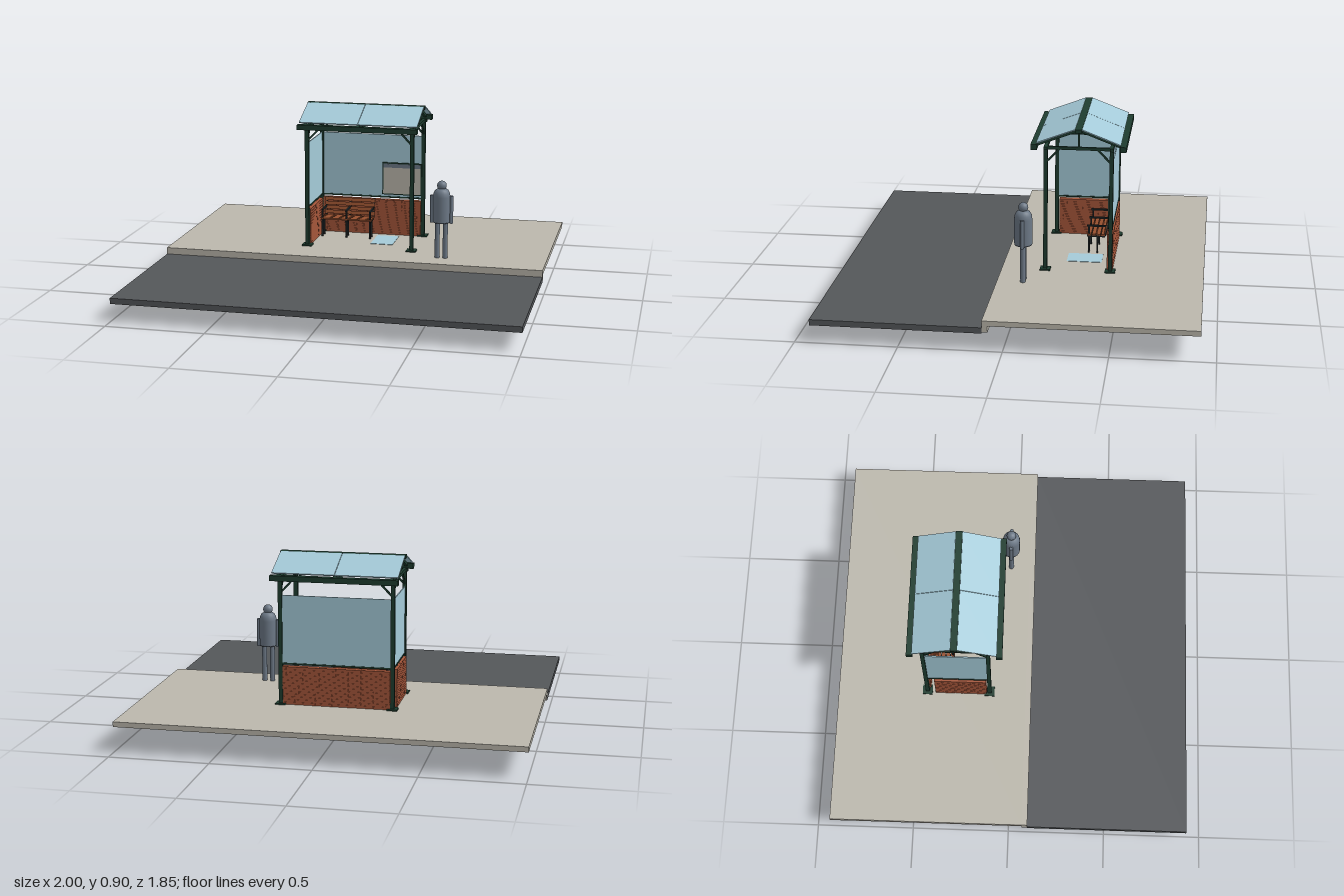
import * as THREE from 'three';
import { mergeGeometries } from 'three/addons/utils/BufferGeometryUtils.js';

const mat = (name, color, extra = {}) => {
  const m = new THREE.MeshStandardMaterial({ color, ...extra });
  m.name = name;
  return m;
};

export function createModel() {
  const model = new THREE.Group();
  model.name = 'roadsideShelter';
  const concrete = mat('concrete', 0xbcb8ad);
  const asphalt = mat('asphalt', 0x54575a);
  const green = mat('darkGreenPaint', 0x1f3d30);
  const glass = mat('paleBlueGlass', 0xa5cbd9);
  const brick = mat('redBrick', 0xa5563a);
  const wood = mat('benchWood', 0x96502f);
  const iron = mat('blackIron', 0x22282a);
  const grey = mat('blueGrey', 0x6d7987);

  const group = (name, parent = model) => {
    const g = new THREE.Group();
    g.name = name;
    parent.add(g);
    return g;
  };
  const add = (parent, name, geo, material, x = 0, y = 0, z = 0) => {
    const m = new THREE.Mesh(geo, material);
    m.name = name;
    m.position.set(x, y, z);
    parent.add(m);
    return m;
  };
  // Box given by its low and high corners
  const slab = (parent, name, material, x0, x1, y0, y1, z0, z1) =>
    add(parent, name, new THREE.BoxGeometry(x1 - x0, y1 - y0, z1 - z0), material,
      (x0 + x1) / 2, (y0 + y1) / 2, (z0 + z1) / 2);
  // Square bar between two points
  const bar = (parent, name, material, a, b, w) => {
    const p = new THREE.Vector3(...a), q = new THREE.Vector3(...b);
    const m = add(parent, name, new THREE.BoxGeometry(w, w, p.distanceTo(q)), material);
    m.position.copy(p).add(q).multiplyScalar(0.5);
    m.lookAt(q);
    return m;
  };

  const FLOOR = 0.154, PX = 0.283, ZF = -0.123, ZB = -0.452, ZR = -0.288;

  // Ground
  const ground = group('ground');
  slab(ground, 'pavement', concrete, -1, 1, 0.128, FLOOR, -0.925, 0.07);
  slab(ground, 'kerb', concrete, -1, 1, 0.096, FLOOR, 0.07, 0.098);
  slab(ground, 'road', asphalt, -1, 1, 0.09, 0.119, 0.098, 0.925);
  slab(ground, 'floorPanel', glass, 0.04, 0.16, FLOOR, FLOOR + 0.002, -0.4, -0.22);

  // Posts, base plates, footings and knee braces
  const frame = group('frame');
  for (const x of [-PX, PX]) {
    for (const z of [ZF, ZB]) {
      const sx = -Math.sign(x), sz = z === ZF ? -1 : 1;
      slab(frame, 'footing', concrete, x - 0.06, x + 0.06, 0, 0.128, z - 0.061, z + 0.061);
      slab(frame, 'basePlate', green, x - 0.026, x + 0.026, FLOOR, 0.161, z - 0.026, z + 0.026);
      slab(frame, 'post', green, x - 0.01, x + 0.01, FLOOR, 0.8, z - 0.01, z + 0.01);
      bar(frame, 'longBrace', green, [x, 0.72, z], [x + sx * 0.068, 0.792, z], 0.009);
      bar(frame, 'sideBrace', green, [x, 0.72, z], [x, 0.792, z + sz * 0.068], 0.009);
    }
  }
  for (const z of [ZF, ZB]) slab(frame, 'wallPlate', green, -0.3, 0.3, 0.789, 0.805, z - 0.009, z + 0.009);

  // Roof: trusses, eave bars, ridge and glass sheets
  const roof = group('roof');
  const RIDGE = 0.893, EAVE = 0.808, SPAN = 0.222;
  for (const x of [-PX, 0, PX]) {
    slab(roof, 'tieBeam', green, x - 0.007, x + 0.007, 0.79, 0.805, ZB, ZF);
    slab(roof, 'kingPost', green, x - 0.005, x + 0.005, 0.8, 0.89, ZR - 0.005, ZR + 0.005);
    for (const s of [-1, 1])
      bar(roof, 'rafter', green, [x, RIDGE, ZR], [x, EAVE, ZR + s * SPAN], 0.014);
  }
  slab(roof, 'ridgeBeam', green, -0.318, 0.318, 0.884, 0.903, ZR - 0.017, ZR + 0.017);
  const slope = Math.atan2(RIDGE - EAVE, SPAN);
  for (const s of [-1, 1]) {
    const ze = ZR + s * SPAN;
    slab(roof, 'eaveBar', green, -0.319, 0.319, 0.793, 0.82, ze - 0.016, ze + 0.016);
    for (const side of [-1, 1]) {
      const sheet = add(roof, 'roofGlass', new THREE.BoxGeometry(0.314, 0.006, 0.206), glass,
        side * 0.158, (RIDGE + EAVE) / 2 + 0.013, ZR + s * 0.113);
      sheet.rotation.x = s * slope;
    }
  }

  // Staggered brickwork along x, centred on the origin and standing on y = 0
  const brickwork = (length, height, depth) => {
    const parts = [], rows = 14, bl = 0.042, h = height / rows;
    for (let r = 0; r < rows; r++) {
      let x = -length / 2;
      let w = r % 2 ? bl / 2 : bl;
      while (x < length / 2 - 0.001) {
        const end = Math.min(x + w, length / 2);
        const g = new THREE.BoxGeometry(end - x - 0.0012, h - 0.0014, depth);
        g.translate((x + end) / 2, (r + 0.5) * h, 0);
        parts.push(g);
        x = end;
        w = bl;
      }
    }
    const core = new THREE.BoxGeometry(length - 0.004, height - 0.002, depth - 0.004);
    parts.push(core.translate(0, height / 2, 0));
    return mergeGeometries(parts);
  };

  // Back wall and left-hand end wall, with glazing above
  const walls = group('walls');
  add(walls, 'backBrickWall', brickwork(0.545, 0.196, 0.03), brick, 0, FLOOR, ZB + 0.003);
  const endWall = add(walls, 'endBrickWall', brickwork(0.272, 0.196, 0.03), brick, -PX, FLOOR, -0.274);
  endWall.rotation.y = Math.PI / 2;
  slab(walls, 'backRail', green, -PX, PX, 0.359, 0.367, ZB - 0.006, ZB + 0.006);
  slab(walls, 'endRail', green, -PX - 0.006, -PX + 0.006, 0.359, 0.367, ZB, ZF);
  slab(walls, 'backGlass', glass, -0.273, 0.273, 0.367, 0.71, ZB - 0.003, ZB + 0.003);
  slab(walls, 'endGlass', glass, -PX - 0.003, -PX + 0.003, 0.367, 0.71, ZB + 0.01, ZF - 0.01);

  // Notice board
  const board = group('noticeBoard');
  slab(board, 'boardFrame', green, 0.058, 0.276, 0.379, 0.557, -0.447, -0.438);
  slab(board, 'boardFace', concrete, 0.064, 0.27, 0.385, 0.53, -0.439, -0.436);
  slab(board, 'boardHeader', grey, 0.064, 0.27, 0.53, 0.551, -0.439, -0.436);

  // Bench
  const bench = group('bench');
  for (const x of [-0.25, -0.117, 0.015]) {
    bar(bench, 'frontLeg', iron, [x, FLOOR, -0.322], [x, 0.304, -0.322], 0.009);
    bar(bench, 'rearLeg', iron, [x, FLOOR, -0.366], [x, 0.25, -0.366], 0.009);
    bar(bench, 'armrest', iron, [x, 0.303, -0.312], [x, 0.303, -0.415], 0.009);
    bar(bench, 'seatBearer', iron, [x, 0.247, -0.312], [x, 0.247, -0.405], 0.009);
    bar(bench, 'backUpright', iron, [x, 0.247, -0.404], [x, 0.353, -0.432], 0.009);
  }
  for (let i = 0; i < 4; i++) {
    const z = -0.324 - i * 0.024;
    slab(bench, 'seatSlat', wood, -0.257, 0.022, 0.251, 0.259, z - 0.01, z + 0.01);
    const t = (i + 0.8) / 4;
    const slat = add(bench, 'backSlat', new THREE.BoxGeometry(0.279, 0.019, 0.006), wood,
      -0.1175, 0.256 + t * 0.092, -0.4 - t * 0.025);
    slat.rotation.x = -0.26;
  }

  // Standing figure
  const figure = group('standingFigure');
  figure.position.set(0.457, 0, -0.032);
  const torso = [[0, 0.345], [0.044, 0.345], [0.045, 0.35], [0.045, 0.48], [0.042, 0.5],
    [0.034, 0.515], [0.02, 0.524], [0, 0.527]].map(p => new THREE.Vector2(...p));
  add(figure, 'torso', new THREE.LatheGeometry(torso, 24), grey);
  add(figure, 'head', new THREE.SphereGeometry(0.025, 20, 14), grey, 0, 0.539, 0);
  for (const s of [-1, 1]) {
    add(figure, 'leg', new THREE.CylinderGeometry(0.013, 0.013, 0.195, 16), grey, s * 0.021, 0.25, 0);
    add(figure, 'arm', new THREE.CylinderGeometry(0.01, 0.01, 0.145, 16), grey, s * 0.051, 0.413, 0);
  }
  return model;
}
